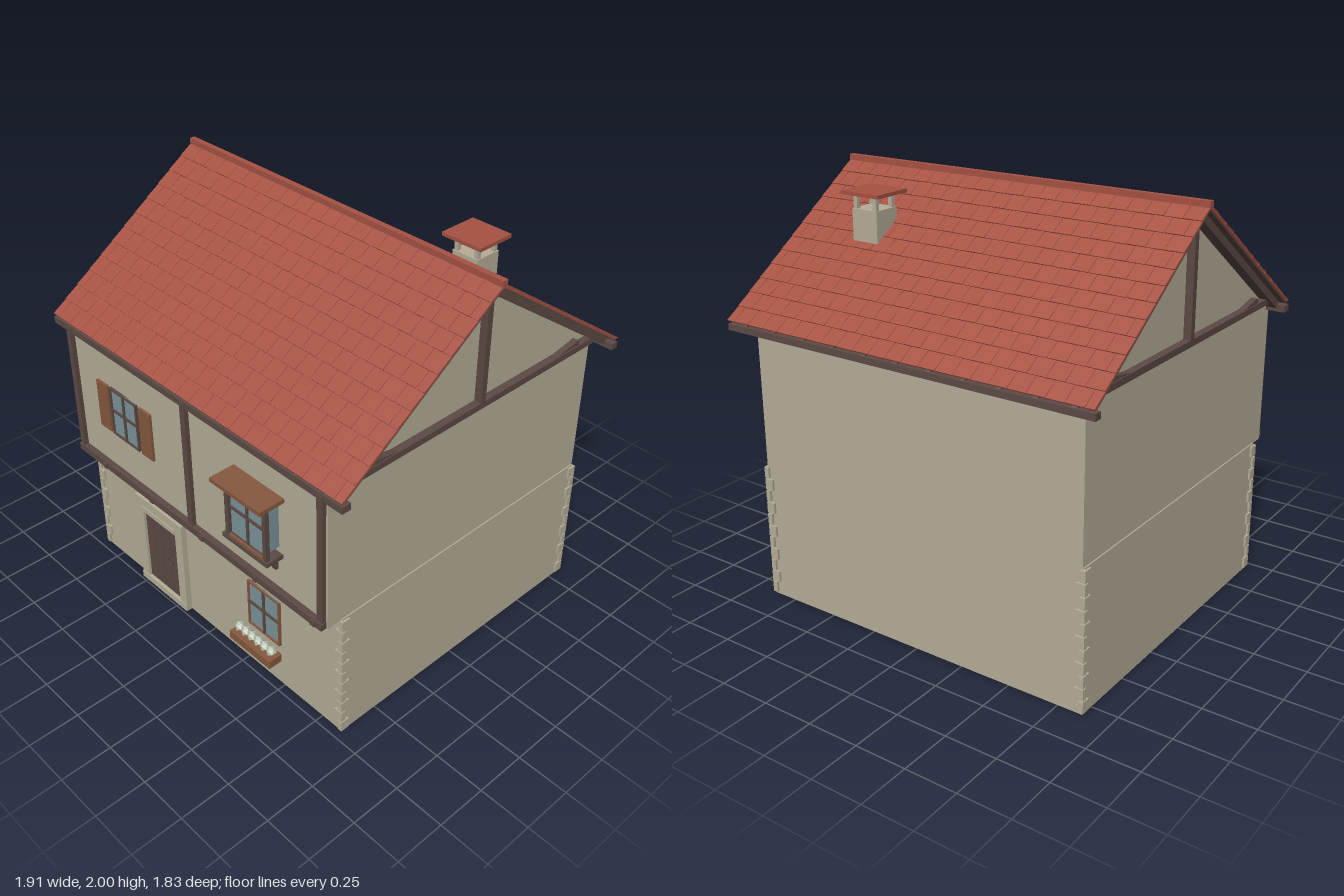
import * as THREE from 'three';
import { mergeGeometries } from 'three/addons/utils/BufferGeometryUtils.js';

const mat = (name, color) => {
  const m = new THREE.MeshStandardMaterial({ color });
  m.name = name;
  return m;
};

export function createModel() {
  const plaster = mat('plaster', 0xb6ae99);
  const timber = mat('dark timber', 0x5c4a44);
  const wood = mat('brown wood', 0x87593f);
  const tile = mat('roof tile', 0xa65243);
  const glass = mat('window glass', 0x7b949c);
  const bloom = mat('flowers', 0xbfc6b4);

  const house = new THREE.Group();
  house.name = 'house';

  const add = (parent, name, geo, material) => {
    const m = new THREE.Mesh(geo, material);
    m.name = name;
    parent.add(m);
    return m;
  };
  // Box given by its min and max on each axis
  const box = (parent, name, material, x0, x1, y0, y1, z0, z1) => {
    const m = add(parent, name, new THREE.BoxGeometry(x1 - x0, y1 - y0, z1 - z0), material);
    m.position.set((x0 + x1) / 2, (y0 + y1) / 2, (z0 + z1) / 2);
    return m;
  };
  // Side profile of [z, y] points extruded along x, centred on x
  const prism = (parent, name, material, pts, width, x = 0) => {
    const shape = new THREE.Shape(pts.map(([z, y]) => new THREE.Vector2(z, y)));
    const geo = new THREE.ExtrudeGeometry(shape, { depth: width, bevelEnabled: false });
    geo.translate(0, 0, -width / 2).rotateY(-Math.PI / 2);
    const m = add(parent, name, geo, material);
    m.position.x = x;
    return m;
  };
  const group = (name) => {
    const g = new THREE.Group();
    g.name = name;
    house.add(g);
    return g;
  };

  // Walls: ground floor box, jettied upper floor with gables in one profile
  const RIDGE = -0.055;
  box(house, 'groundFloor', plaster, -0.87, 0.87, 0, 0.675, -0.82, 0.705);
  prism(house, 'upperFloor', plaster,
    [[-0.825, 0.67], [0.785, 0.67], [0.785, 1.36], [RIDGE, 1.945], [-0.825, 1.4]], 1.728);

  // Corner stones, alternating long and short
  const quoins = group('cornerStones');
  for (const sx of [-1, 1]) for (const front of [true, false]) for (let i = 0; i < 11; i++) {
    const lx = i % 2 ? 0.045 : 0.025, lz = i % 2 ? 0.025 : 0.045;
    const y = 0.012 + i * 0.06;
    const zo = front ? 0.716 : -0.832, zi = front ? zo - lz : zo + lz;
    const a = sx * 0.88, b = sx * (0.88 - lx);
    box(quoins, 'cornerStone', plaster, Math.min(a, b), Math.max(a, b), y, y + 0.054,
      Math.min(zo, zi), Math.max(zo, zi));
  }

  // Front timber frame
  const frame = group('timberFrame');
  box(frame, 'floorBeam', timber, -0.857, 0.857, 0.67, 0.705, 0.73, 0.815);
  for (const x of [-0.84, -0.003, 0.838]) box(frame, 'post', timber, x - 0.016, x + 0.016, 0.7, 1.36, 0.778, 0.807);
  for (let i = 0; i < 5; i++) {
    const x = -0.812 + i * 0.362;
    prism(frame, 'jettyBracket', timber,
      [[0.7, 0.615], [0.735, 0.62], [0.765, 0.64], [0.79, 0.672], [0.7, 0.672]], 0.036, x);
    box(frame, 'joistEnd', timber, x + 0.16, x + 0.185, 0.673, 0.7, 0.8, 0.822);
  }

  // Gable timbers on both ends
  for (const s of [-1, 1]) {
    const lo = s > 0 ? 0.862 : -0.9, hi = lo + 0.038;
    box(frame, 'tieBeam', timber, lo, hi, 1.38, 1.41, -0.8, 0.69);
    box(frame, 'kingPost', timber, lo, hi, 1.4, 1.95, RIDGE - 0.015, RIDGE + 0.015);
    for (const d of [-1, 1]) {
      const pts = [[0.47, 1.405], [0.65, 1.405], [0.64, 1.435]].map(([z, y]) => [RIDGE + d * z, y]);
      prism(frame, 'gableBrace', timber, pts, 0.03, s * 0.88);
    }
  }

  // Roof: two equal slopes, local z runs from ridge to eave
  const LEN = 1.04, ROWS = 12, COLS = 22, HALF = 0.956;
  const rowStep = LEN / ROWS, colStep = 2 * HALF / COLS;
  const tiles = [];
  for (let r = 0; r < ROWS; r++) for (let c = 0; c <= COLS; c++) {
    const start = -HALF + (c - (r % 2) / 2) * colStep;
    const x0 = Math.max(-HALF, start), x1 = Math.min(HALF, start + colStep);
    if (x1 - x0 < 0.01) continue;
    const g = new THREE.BoxGeometry(x1 - x0 - 0.002, 0.006, rowStep + 0.006);
    g.rotateX(-0.04 - 0.02 * (c % 2));
    g.translate((x0 + x1) / 2, 0.002, (r + 0.5) * rowStep);
    tiles.push(g);
  }
  const tileGeo = mergeGeometries(tiles);
  for (const back of [false, true]) {
    const slope = group(back ? 'backRoofSlope' : 'frontRoofSlope');
    slope.position.set(0, 1.978, RIDGE);
    slope.rotation.set(Math.atan(0.7), back ? Math.PI : 0, 0, 'YXZ');
    add(slope, 'roofTiles', tileGeo, tile);
    box(slope, 'tileBed', tile, -0.953, 0.953, -0.008, 0.001, 0, LEN - 0.005);
    box(slope, 'roofBoards', timber, -0.95, 0.95, -0.016, -0.008, 0.01, LEN - 0.01);
    for (const s of [-1, 1]) {
      const x = s * 0.89;
      box(slope, 'gableRafter', timber, x - 0.028, x + 0.028, -0.05, -0.015, 0.02, LEN - 0.02);
    }
    for (let i = -5; i <= 5; i++) {
      const x = i * 0.172;
      box(slope, 'rafterTail', timber, x - 0.012, x + 0.012, -0.045, -0.015, 0.88, LEN + 0.005);
    }
  }
  box(house, 'ridgeCap', tile, -0.957, 0.957, 1.965, 2, RIDGE - 0.014, RIDGE + 0.014);
  box(house, 'frontEaveBeam', timber, -0.957, 0.957, 1.335, 1.367, 0.755, 0.802);
  box(house, 'backEaveBeam', timber, -0.957, 0.957, 1.337, 1.367, -0.908, -0.87);

  // Chimney with four small posts carrying a cap
  const chimney = group('chimney');
  box(chimney, 'chimneyStack', plaster, 0.46, 0.6, 1.6, 1.85, -0.455, -0.32);
  for (const x of [0.475, 0.585]) for (const z of [-0.44, -0.335])
    box(chimney, 'capPost', plaster, x - 0.01, x + 0.01, 1.85, 1.917, z - 0.01, z + 0.01);
  box(chimney, 'chimneyCap', tile, 0.423, 0.637, 1.913, 1.93, -0.485, -0.288);

  // Window with four panes: glass, outer frame and crossing bars
  const windowAt = (name, x0, x1, y0, y1, z, frameMat) => {
    const g = group(name), t = 0.009, xc = (x0 + x1) / 2, yc = (y0 + y1) / 2 + 0.008;
    box(g, 'glass', glass, x0, x1, y0, y1, z - 0.008, z);
    const bar = (a, b, c, d, m) => box(g, 'windowBar', m, a, b, c, d, z - 0.008, z + 0.008);
    bar(x0, x0 + t, y0, y1, frameMat);
    bar(x1 - t, x1, y0, y1, frameMat);
    bar(x0, x1, y0, y0 + t, frameMat);
    bar(x0, x1, y1 - t, y1, frameMat);
    bar(xc - 0.006, xc + 0.006, y0, y1, timber);
    bar(x0, x1, yc - 0.006, yc + 0.006, timber);
    return g;
  };

  // Upper left window with shutters
  const shuttered = windowAt('shutteredWindow', -0.566, -0.366, 0.905, 1.16, 0.791, timber);
  for (const x of [-0.665, -0.348])
    box(shuttered, 'shutter', wood, x, x + 0.084, 0.905, 1.157, 0.783, 0.798);

  // Projecting bay window with board roof, sill and brackets
  const bay = windowAt('bayWindow', 0.345, 0.58, 0.905, 1.18, 0.852, timber);
  for (const x of [0.35, 0.57]) box(bay, 'sideGlass', glass, x, x + 0.006, 0.93, 1.16, 0.78, 0.85);
  for (const x of [0.345, 0.58]) box(bay, 'bayPost', timber, x - 0.01, x + 0.01, 0.9, 1.18, 0.848, 0.87);
  box(bay, 'bayRoof', wood, 0.303, 0.613, 1.18, 1.2, 0.78, 0.915);
  box(bay, 'baySill', timber, 0.317, 0.6, 0.88, 0.9, 0.78, 0.875);
  box(bay, 'sillRail', wood, 0.35, 0.575, 0.9, 0.912, 0.855, 0.87);
  for (const x of [0.36, 0.556])
    prism(bay, 'bayBracket', timber, [[0.78, 0.805], [0.8, 0.805], [0.81, 0.845], [0.865, 0.882], [0.845, 0.882], [0.78, 0.835]], 0.024, x);

  // Ground floor window with flower box
  const lower = windowAt('lowerWindow', 0.27, 0.482, 0.24, 0.5, 0.711, wood);
  box(lower, 'flowerBox', wood, 0.237, 0.51, 0.18, 0.222, 0.732, 0.805);
  for (const x of [0.283, 0.466])
    prism(lower, 'flowerBoxBracket', timber, [[0.7, 0.155], [0.72, 0.16], [0.79, 0.182], [0.7, 0.182]], 0.016, x);
  for (let i = 0; i < 6; i++) {
    const f = add(lower, 'flower', new THREE.IcosahedronGeometry(0.026, 0), bloom);
    f.position.set(0.266 + i * 0.043, 0.245, 0.766);
  }

  // Plank door with stone surround, lintel, step and ring handle
  const door = group('door');
  box(door, 'surroundTop', plaster, -0.54, -0.185, 0.455, 0.53, 0.7, 0.734);
  for (const [a, b] of [[-0.54, -0.487], [-0.238, -0.185]])
    box(door, 'surroundSide', plaster, a, b, 0, 0.46, 0.7, 0.734);
  box(door, 'lintel', plaster, -0.49, -0.235, 0.455, 0.482, 0.73, 0.739);
  box(door, 'doorStep', plaster, -0.54, -0.185, 0, 0.035, 0.7, 0.738);
  box(door, 'doorBack', wood, -0.487, -0.238, 0.035, 0.456, 0.7, 0.714);
  for (let i = 0; i < 4; i++) {
    const x = -0.487 + i * 0.0623;
    box(door, 'doorPlank', timber, x + 0.002, x + 0.06, 0.037, 0.456, 0.71, 0.721);
  }
  const ring = add(door, 'doorRing', new THREE.TorusGeometry(0.02, 0.003, 6, 16), timber);
  ring.position.set(-0.303, 0.24, 0.724);

  return house;
}
